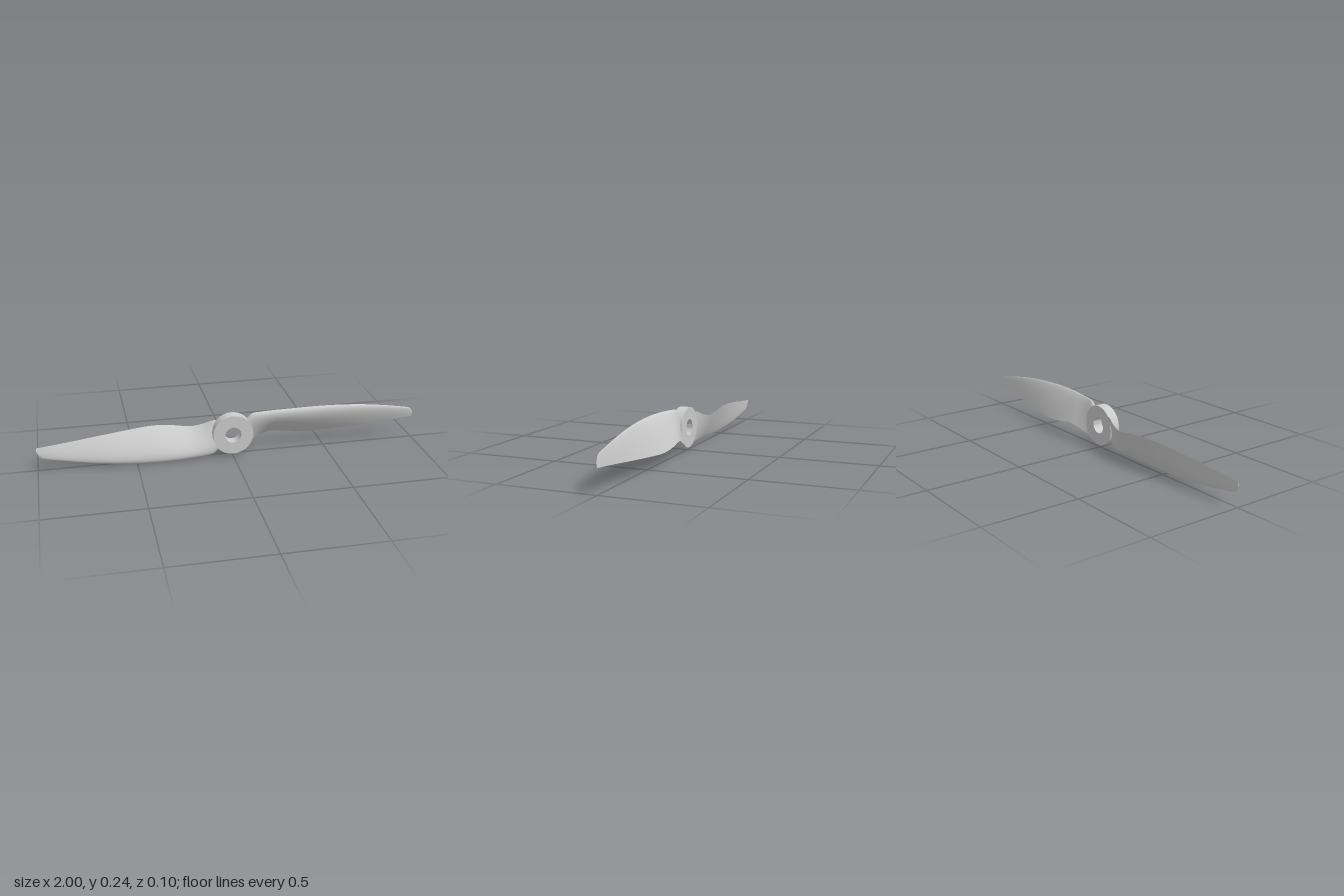
import * as THREE from 'three';
import { toCreasedNormals } from 'three/addons/utils/BufferGeometryUtils.js';

const AXIS_Y = 0.12;

// Blade stations: [x, leading y, leading z, trailing y, trailing z, thickness], y relative to the hub axis
const STATIONS = [
  [0.06, 0.065, 0.018, -0.06, -0.008, 0.025],
  [0.08, 0.084, 0.02, -0.069, -0.012, 0.028],
  [0.105, 0.106, 0.022, -0.066, -0.017, 0.03],
  [0.15, 0.112, 0.026, -0.047, -0.03, 0.033],
  [0.215, 0.116, 0.03, -0.033, -0.043, 0.036],
  [0.3, 0.119, 0.034, -0.044, -0.05, 0.038],
  [0.4, 0.12, 0.033, -0.054, -0.046, 0.037],
  [0.5, 0.118, 0.029, -0.05, -0.036, 0.033],
  [0.6, 0.112, 0.024, -0.042, -0.026, 0.028],
  [0.7, 0.102, 0.018, -0.033, -0.018, 0.022],
  [0.8, 0.088, 0.012, -0.022, -0.012, 0.016],
  [0.9, 0.07, 0.007, -0.012, -0.007, 0.011],
  [0.96, 0.058, 0.004, -0.006, -0.005, 0.007],
  [0.985, 0.047, 0.002, -0.004, -0.004, 0.005],
  [1.0, 0.02, 0.0, -0.002, -0.003, 0.003],
];

const spline = (pick) =>
  new THREE.CatmullRomCurve3(STATIONS.map((s) => new THREE.Vector3(...pick(s))), false, 'catmullrom', 0.5);

// Half thickness of an airfoil along its chord, s = 0 at the nose
const airfoil = (s, t) =>
  5 * t * (0.2969 * Math.sqrt(s) - 0.126 * s - 0.3516 * s ** 2 + 0.2843 * s ** 3 - 0.1036 * s ** 4);

function bladeGeometry() {
  const leading = spline((s) => [s[0], s[1], s[2]]);
  const trailing = spline((s) => [s[0], s[3], s[4]]);
  const thickness = spline((s) => [s[0], s[5], 0]);
  const rows = 84, sides = 40, ring = sides + 1;
  const pos = [], index = [];

  // Twisted airfoil sections: trailing edge, front face, nose, back face, trailing edge
  for (let i = 0; i <= rows; i++) {
    const u = i / rows;
    const le = leading.getPoint(u), te = trailing.getPoint(u), t = thickness.getPoint(u).y;
    const dy = te.y - le.y, dz = te.z - le.z, chord = Math.hypot(dy, dz);
    for (let j = 0; j <= sides; j++) {
      const a = (j / sides) * Math.PI * 2;
      const s = (1 + Math.cos(a)) / 2;
      const off = airfoil(s, t) * (j <= sides / 2 ? 1.5 : -0.5);
      pos.push(
        le.x + (te.x - le.x) * s,
        le.y + dy * s + (dz / chord) * off,
        le.z + dz * s - (dy / chord) * off
      );
    }
  }
  for (let i = 0; i < rows; i++) {
    for (let j = 0; j < sides; j++) {
      const a = i * ring + j, b = a + ring;
      index.push(a, b, a + 1, b, b + 1, a + 1);
    }
  }

  // Flat end caps at root and tip, with their own vertices
  for (const row of [0, rows]) {
    const start = pos.length / 3;
    pos.push(...pos.slice(row * ring * 3, (row + 1) * ring * 3));
    for (let j = 1; j < sides - 1; j++) {
      if (row) index.push(start, start + j + 1, start + j);
      else index.push(start, start + j, start + j + 1);
    }
  }

  const geo = new THREE.BufferGeometry();
  geo.setAttribute('position', new THREE.Float32BufferAttribute(pos, 3));
  geo.setIndex(index);
  geo.computeVertexNormals();
  return geo;
}

function hubGeometry() {
  const shape = new THREE.Shape().absarc(0, 0, 0.106, 0, Math.PI * 2, false);
  shape.holes.push(new THREE.Path().absarc(0, 0, 0.042, 0, Math.PI * 2, true));
  const geo = new THREE.ExtrudeGeometry(shape, { depth: 0.054, bevelEnabled: false, curveSegments: 64 });
  geo.translate(0, 0, -0.012);
  return toCreasedNormals(geo, 0.6);
}

export function createModel() {
  const propeller = new THREE.Group();
  propeller.name = 'propeller';
  const material = new THREE.MeshStandardMaterial({ color: 0xcccccc });

  const add = (name, geometry, turn = 0) => {
    const mesh = new THREE.Mesh(geometry, material);
    mesh.name = name;
    mesh.position.y = AXIS_Y;
    mesh.rotation.z = turn;
    propeller.add(mesh);
  };

  // Bored hub
  add('hub', hubGeometry());

  // Two identical blades, half a turn apart
  const blade = bladeGeometry();
  add('leftBlade', blade);
  add('rightBlade', blade, Math.PI);

  return propeller;
}
